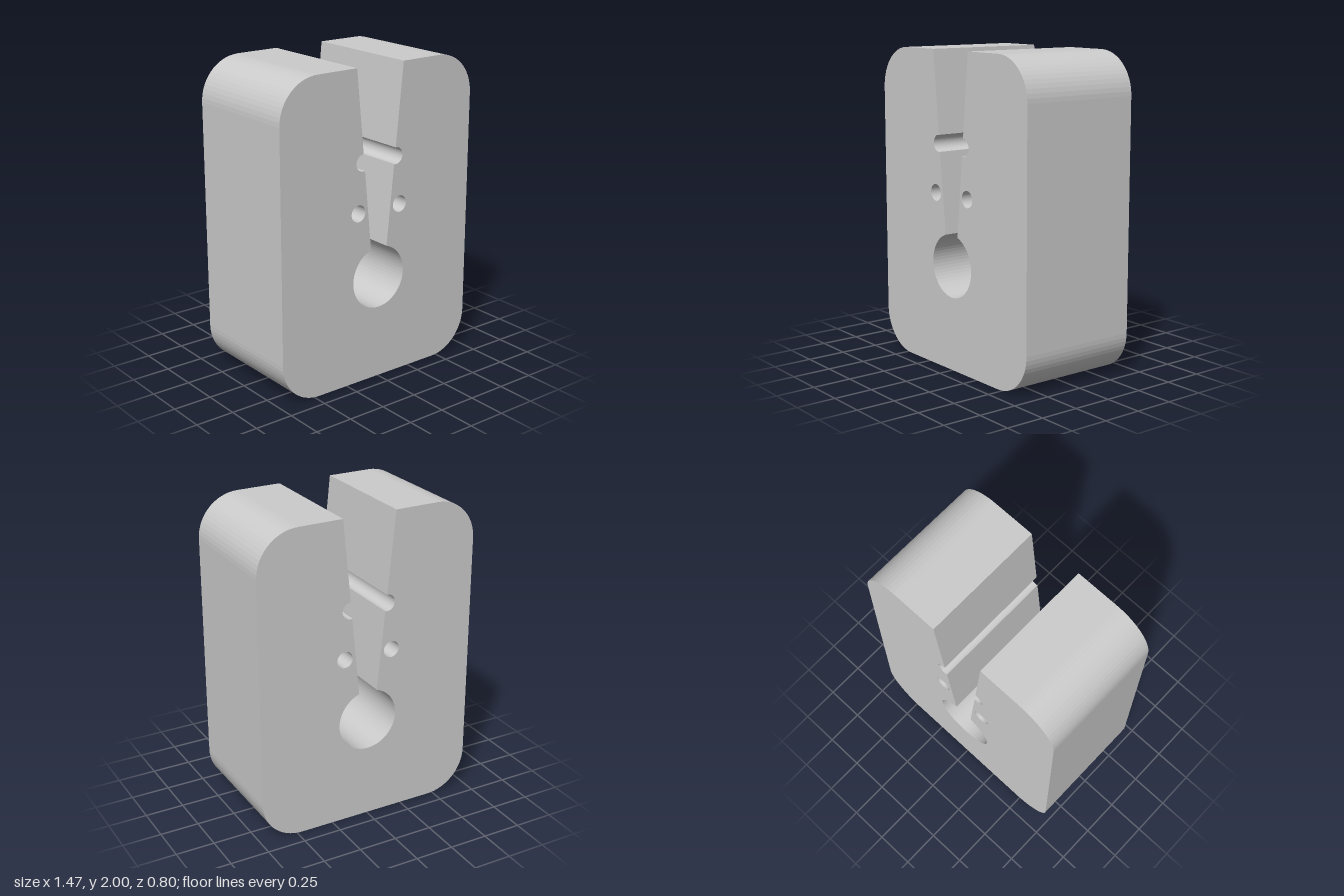
import * as THREE from 'three';

const HALF_W = 0.733, HEIGHT = 2, DEPTH = 0.8, CORNER = 0.267;
const SEG = Math.PI / 30; // angle of one facet on every round

// Points along an arc from angle a0 to a1, in either direction
function arc(cx, cy, r, a0, a1) {
  const n = Math.ceil(Math.abs(a1 - a0) / SEG - 1e-6);
  return Array.from({ length: n + 1 }, (_, i) => {
    const a = a0 + ((a1 - a0) * i) / n;
    return new THREE.Vector2(cx + r * Math.cos(a), cy + r * Math.sin(a));
  });
}

export function createModel() {
  const group = new THREE.Group();
  group.name = 'slottedBlock';
  const P = Math.PI;

  // Rounded outer corners, counter-clockwise from the top left
  const x = HALF_W - CORNER, top = HEIGHT - CORNER;
  const outer = [
    ...arc(-x, top, CORNER, P / 2, P),
    ...arc(-x, CORNER, CORNER, P, 1.5 * P),
    ...arc(x, CORNER, CORNER, 1.5 * P, 2 * P),
    ...arc(x, top, CORNER, 0, P / 2),
  ];

  // Right wall of the tapering slot, with its round notch, down to the keyhole
  const slotTop = 0.178, neckX = 0.062, bore = 0.2, boreY = 0.67;
  const neckY = boreY + Math.sqrt(bore * bore - neckX * neckX);
  const slope = (slotTop - neckX) / (HEIGHT - neckY);
  const tilt = Math.atan(slope);
  const notchX = 0.127, notchY = 1.424, holeR = 0.053;
  const inset = (notchX - neckX - (notchY - neckY) * slope) * Math.cos(tilt);
  const half = Math.acos(-inset / holeR);
  const wall = [
    new THREE.Vector2(slotTop, HEIGHT),
    ...arc(notchX, notchY, holeR, -tilt + half, -tilt - half),
  ];

  // Round bore under the slot
  const neckAngle = Math.acos(neckX / bore);
  const keyhole = arc(0, boreY, bore, neckAngle, P - neckAngle - 2 * P);

  // Mirrored wall back up the left side
  const mirrored = wall.map((p) => new THREE.Vector2(-p.x, p.y)).reverse();
  const shape = new THREE.Shape([...outer, ...wall, ...keyhole, ...mirrored]);

  // Pair of small through holes beside the slot
  for (const side of [-1, 1]) {
    shape.holes.push(new THREE.Path(arc(side * 0.162, 1.113, holeR, 2 * P, 0).slice(0, -1)));
  }

  const geometry = new THREE.ExtrudeGeometry(shape, { depth: DEPTH, bevelEnabled: false });
  geometry.translate(0, 0, -DEPTH / 2);
  const body = new THREE.Mesh(
    geometry,
    new THREE.MeshStandardMaterial({ color: 0xcccccc, flatShading: true })
  );
  body.name = 'body';
  group.add(body);
  return group;
}
